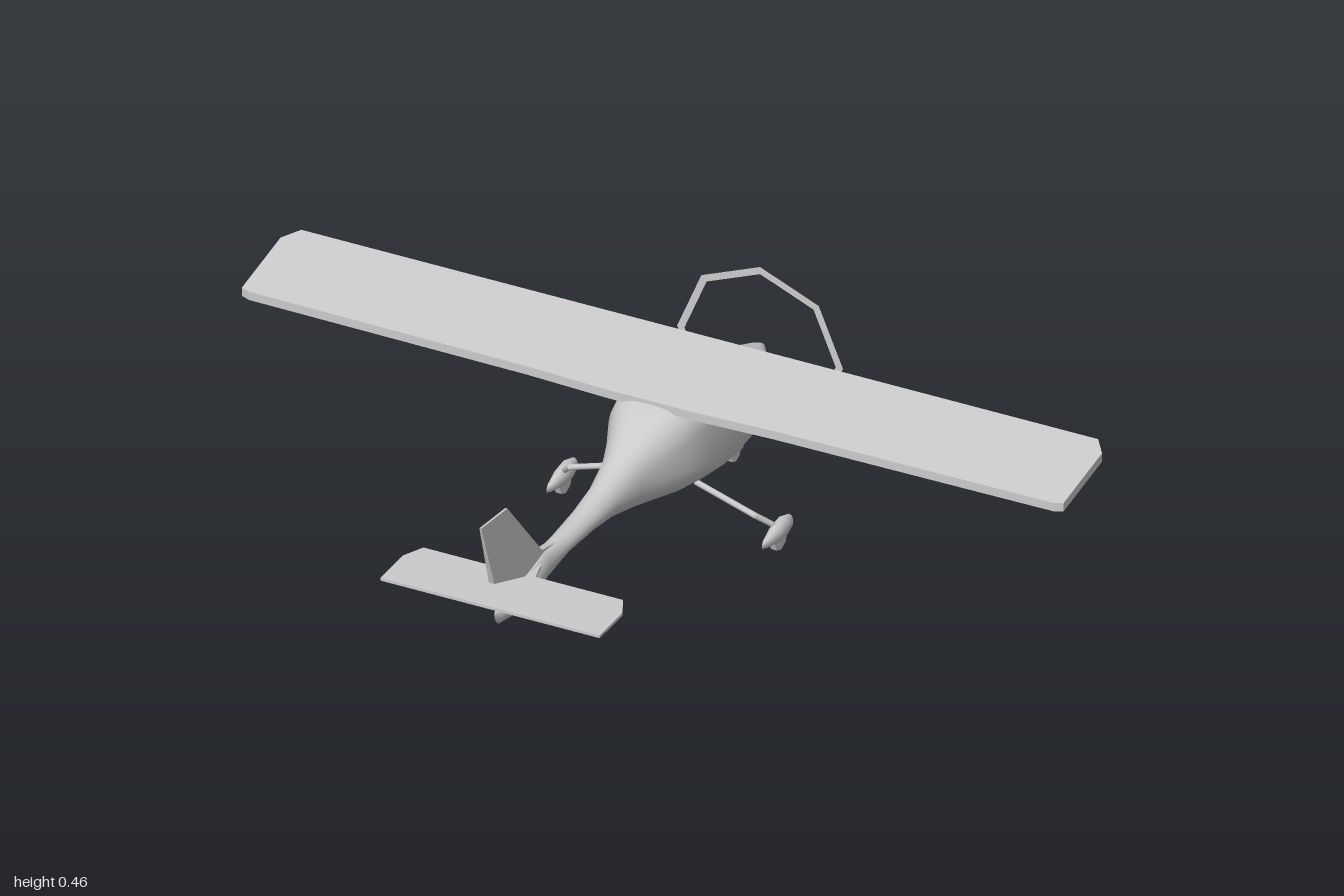
import * as THREE from 'three';

const smooth = new THREE.MeshStandardMaterial({ color: 0xcccccc, side: THREE.DoubleSide });
const flat = new THREE.MeshStandardMaterial({ color: 0xcccccc, side: THREE.DoubleSide, flatShading: true });

function add(parent, name, geometry, material = smooth) {
  const mesh = new THREE.Mesh(geometry, material);
  mesh.name = name;
  parent.add(mesh);
  return mesh;
}

// Loft of superellipse rings along z; station = [z, bottom, top, halfWidth, exponent]
function loft(stations, sides) {
  const pos = [], idx = [];
  const round = (v, n) => Math.sign(v) * Math.abs(v) ** (2 / n);
  stations.forEach(([z, bottom, top, w, n = 2], i) => {
    for (let j = 0; j < sides; j++) {
      const a = (j / sides) * Math.PI * 2;
      pos.push(w * round(Math.cos(a), n), (top + bottom) / 2 + ((top - bottom) / 2) * round(Math.sin(a), n), z);
      if (i === stations.length - 1) continue;
      const k = (j + 1) % sides, p = i * sides, q = p + sides;
      idx.push(p + j, p + k, q + k, p + j, q + k, q + j);
    }
  });
  const g = new THREE.BufferGeometry();
  g.setAttribute('position', new THREE.Float32BufferAttribute(pos, 3));
  g.setIndex(idx);
  g.computeVertexNormals();
  return g;
}

function slab(points, depth) {
  const shape = new THREE.Shape(points.map(([x, y]) => new THREE.Vector2(x, y)));
  return new THREE.ExtrudeGeometry(shape, { depth, bevelEnabled: false });
}

// Horizontal panel from a right-hand outline of [x, z], mirrored across x = 0
function panel(half, depth) {
  const right = half.map(([x, z]) => [x, -z]);
  const left = right.map(([x, y]) => [-x, y]).reverse();
  return slab([...right, ...left], depth).rotateX(-Math.PI / 2);
}

// Straight strut between two points
function strut(parent, name, from, to, r) {
  const a = new THREE.Vector3(...from), b = new THREE.Vector3(...to);
  const m = add(parent, name, new THREE.CylinderGeometry(r, r, a.distanceTo(b), 8));
  m.position.copy(a).lerp(b, 0.5);
  m.quaternion.setFromUnitVectors(new THREE.Vector3(0, 1, 0), b.sub(a).normalize());
}

// Wheel with a teardrop fairing, nose towards -z
function wheelUnit(parent, name, x, y, z, s) {
  const unit = new THREE.Group();
  unit.name = name;
  unit.position.set(x, y, z);
  unit.scale.set(1, s, s);
  add(unit, 'wheelFairing', loft([
    [-0.055, -0.012, 0.014, 0], [-0.052, -0.016, 0.018, 0.01], [-0.02, -0.022, 0.028, 0.017],
    [0.015, -0.018, 0.023, 0.016], [0.06, -0.01, 0.011, 0.008], [0.077, -0.004, 0.007, 0],
  ], 12));
  const wheel = add(unit, 'wheel', new THREE.CylinderGeometry(0.03, 0.03, 0.014, 8), flat);
  wheel.rotation.z = Math.PI / 2;
  wheel.position.y = -0.013;
  parent.add(unit);
}

export function createModel() {
  const plane = new THREE.Group();
  plane.name = 'lightAircraft';

  // Fuselage from spinner tip to lower tail fin
  add(plane, 'fuselage', loft([
    [-0.668, 0.217, 0.217, 0],
    [-0.66, 0.206, 0.228, 0.011],
    [-0.635, 0.195, 0.24, 0.026],
    [-0.615, 0.19, 0.243, 0.05],
    [-0.55, 0.145, 0.27, 0.086, 2.3],
    [-0.5, 0.118, 0.295, 0.1, 2.6],
    [-0.44, 0.11, 0.328, 0.112, 2.9],
    [-0.37, 0.109, 0.368, 0.117, 3.2],
    [-0.355, 0.109, 0.393, 0.117, 3.3],
    [-0.3, 0.112, 0.38, 0.117, 3.3],
    [-0.2, 0.129, 0.366, 0.112, 3.2],
    [-0.13, 0.138, 0.355, 0.1, 2.9],
    [-0.07, 0.146, 0.328, 0.074, 2.5],
    [0, 0.161, 0.297, 0.051, 2.2],
    [0.09, 0.183, 0.267, 0.037],
    [0.18, 0.196, 0.251, 0.031],
    [0.29, 0.2, 0.246, 0.026],
    [0.38, 0.179, 0.256, 0.021],
    [0.455, 0.158, 0.243, 0.026],
    [0.51, 0.165, 0.232, 0.022],
    [0.585, 0.178, 0.215, 0.009],
    [0.6, 0.205, 0.211, 0],
  ], 32));

  // High wing, rising towards the leading edge
  const wing = panel([[0.97, -0.37], [1, -0.33], [1, -0.147], [0.98, -0.14], [0.3, -0.135], [0.1, -0.128]], 0.021);
  const wp = wing.attributes.position;
  for (let i = 0; i < wp.count; i++) wp.setY(i, wp.getY(i) + 0.343 - 0.16 * (wp.getZ(i) + 0.135));
  wing.computeVertexNormals();
  add(plane, 'wing', wing, flat);

  // Tailplane with a small root fillet
  const tail = panel([[0.014, 0.4], [0.03, 0.465], [0.243, 0.465], [0.267, 0.515], [0.267, 0.622]], 0.007);
  add(plane, 'tailplane', tail.translate(0, 0.233, 0), flat);

  // Swept fin, thinner towards its tip and its front and rear edges
  const fin = slab([[0.31, 0.245], [0.39, 0.262], [0.545, 0.447], [0.668, 0.461], [0.615, 0.295], [0.47, 0.238]], 1)
    .translate(0, 0, -0.5).rotateY(-Math.PI / 2);
  const fp = fin.attributes.position;
  for (let i = 0; i < fp.count; i++) fp.setX(i, fp.getX(i) * (0.016 - 0.05 * (fp.getY(i) - 0.24)));
  fin.computeVertexNormals();
  add(plane, 'fin', fin, flat);

  // Eight-sided propeller ring
  const ring = add(plane, 'propellerRing', new THREE.RingGeometry(0.184, 0.202, 8, 1), flat);
  ring.position.set(0, 0.219, -0.655);

  // Main landing gear, one each side
  for (const s of [-1, 1]) {
    const gear = new THREE.Group();
    gear.name = s > 0 ? 'leftMainGear' : 'rightMainGear';
    strut(gear, 'upperLeg', [s * 0.08, 0.145, -0.195], [s * 0.225, 0.099, -0.195], 0.007);
    strut(gear, 'lowerLeg', [s * 0.224, 0.101, -0.193], [s * 0.262, 0.06, -0.232], 0.007);
    wheelUnit(gear, 'mainWheel', s * 0.262, 0.049, -0.232, 1);
    plane.add(gear);
  }

  // Nose gear
  const nose = new THREE.Group();
  nose.name = 'noseGear';
  strut(nose, 'noseLeg', [0, 0.135, -0.49], [0, 0.045, -0.53], 0.011);
  wheelUnit(nose, 'noseWheel', 0, 0.035, -0.528, 0.8);
  plane.add(nose);

  return plane;
}
